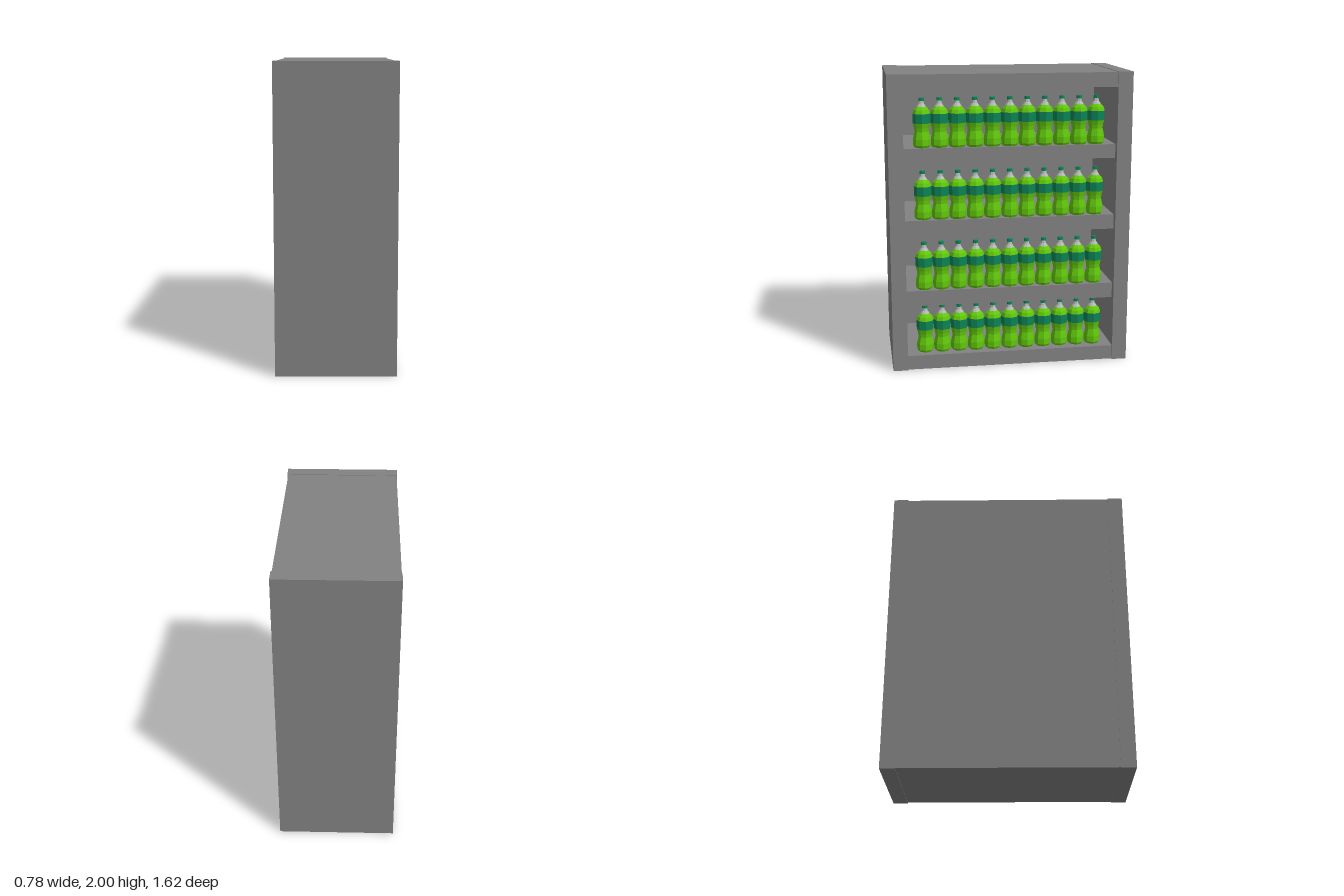
import * as THREE from 'three';

const mat = (name, color) => new THREE.MeshStandardMaterial({ name, color, flatShading: true });

export function createModel() {
  const gray = mat('cabinet gray', 0x828282);
  const green = mat('bottle green', 0x62c80c);
  const teal = mat('label teal', 0x0c8556);
  const clear = mat('neck gray', 0xb4bcb4);

  const model = new THREE.Group();
  model.name = 'bottleShelf';

  // Box given by its lower and upper corners
  const slab = (name, x0, x1, y0, y1, z0, z1) => {
    const mesh = new THREE.Mesh(new THREE.BoxGeometry(x1 - x0, y1 - y0, z1 - z0), gray);
    mesh.name = name;
    mesh.position.set((x0 + x1) / 2, (y0 + y1) / 2, (z0 + z1) / 2);
    model.add(mesh);
  };

  // Cabinet, open towards +x
  slab('leftWall', -0.39, 0.39, 0, 2, 0.71, 0.81);
  slab('rightWall', -0.39, 0.39, 0, 2, -0.81, -0.71);
  slab('backPanel', -0.386, -0.29, 0.003, 1.997, -0.71, 0.71);
  slab('topPanel', -0.29, 0.383, 1.9, 1.997, -0.71, 0.71);
  slab('bottomPanel', -0.29, 0.383, 0.003, 0.1, -0.71, 0.71);
  for (const [y0, y1] of [[0.44, 0.545], [0.93, 1.03], [1.42, 1.513]]) {
    slab('shelf', -0.29, 0.345, y0, y1, -0.71, 0.71);
  }

  // Bottle sections as [radius, height] profiles, eight sides each
  const sections = [
    ['bottleBase', green, [[0, 0], [0.048, 0], [0.057, 0.015], [0.058, 0.055],
      [0.047, 0.105], [0.05, 0.13], [0.058, 0.16]]],
    ['bottleLabel', teal, [[0.058, 0.16], [0.059, 0.223]]],
    ['bottleShoulder', green, [[0.059, 0.223], [0.05, 0.248], [0.031, 0.268]]],
    ['bottleNeck', clear, [[0.031, 0.268], [0.018, 0.288], [0.014, 0.308]]],
    ['bottleCap', teal, [[0, 0.306], [0.018, 0.306], [0.018, 0.325], [0, 0.325]]],
  ].map(([name, material, profile]) => ({
    name,
    material,
    geometry: new THREE.LatheGeometry(profile.map(([r, y]) => new THREE.Vector2(r, y)), 8),
  }));

  // Four rows of eleven bottles along the open side
  for (const y of [0.1, 0.545, 1.03, 1.513]) {
    for (let i = 0; i < 11; i++) {
      const bottle = new THREE.Group();
      bottle.name = 'bottle';
      for (const { name, material, geometry } of sections) {
        const mesh = new THREE.Mesh(geometry, material);
        mesh.name = name;
        bottle.add(mesh);
      }
      bottle.position.set(0.285, y, 0.583 - i * 0.117);
      model.add(bottle);
    }
  }
  return model;
}
